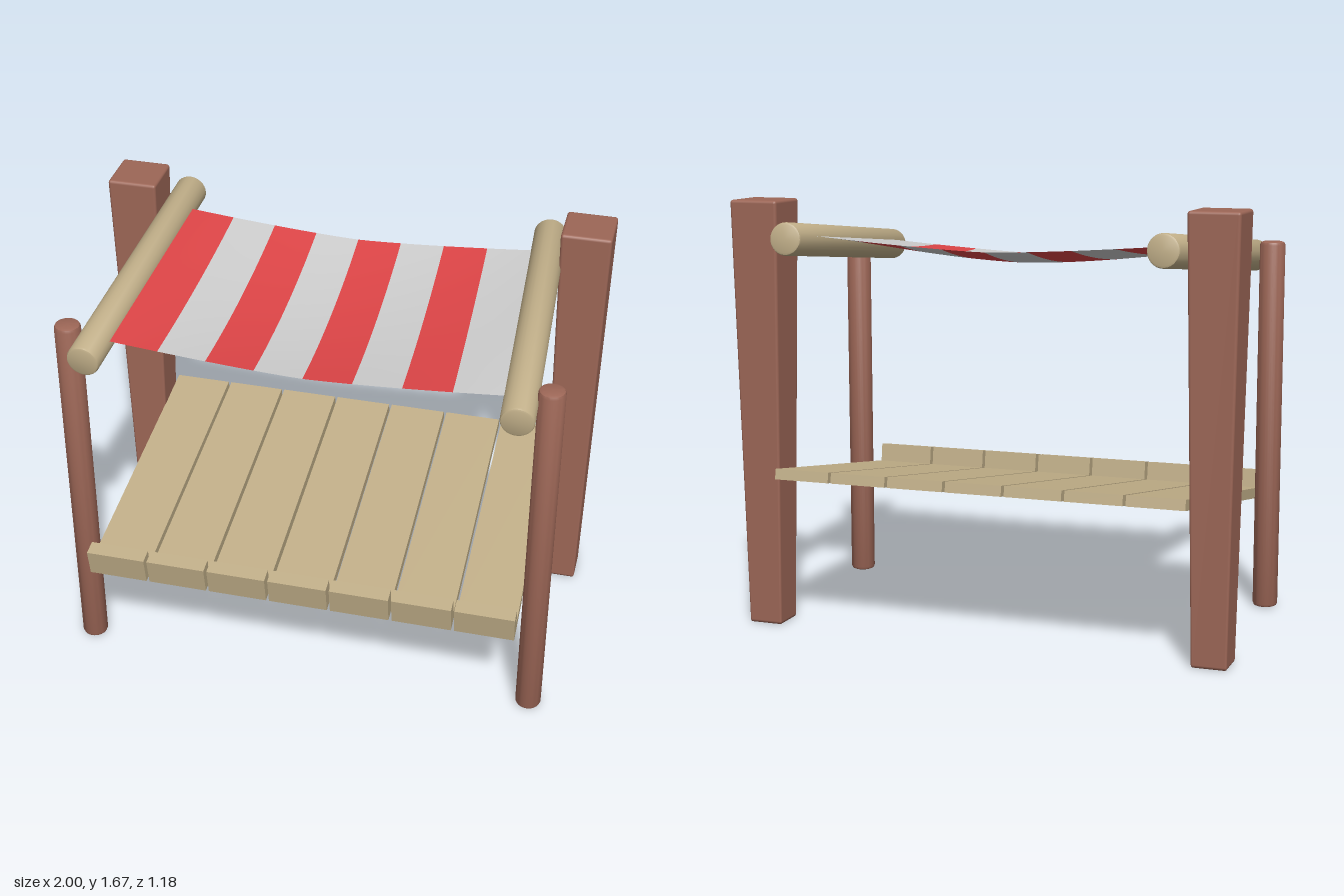
import * as THREE from 'three';
import { toCreasedNormals } from 'three/addons/utils/BufferGeometryUtils.js';
import { RoundedBoxGeometry } from 'three/addons/geometries/RoundedBoxGeometry.js';

const mat = (color, side = THREE.FrontSide) => new THREE.MeshStandardMaterial({ color, side });

// Move every vertex of a geometry by a rule.
function warp(geometry, rule) {
  const p = geometry.attributes.position;
  const v = new THREE.Vector3();
  for (let i = 0; i < p.count; i++) {
    rule(v.fromBufferAttribute(p, i));
    p.setXYZ(i, v.x, v.y, v.z);
  }
  return geometry;
}

// Round pole centred on its own y axis, with a small bevel at both ends.
function pole(radius, length, bevel) {
  const h = length / 2;
  const profile = [
    [0, -h], [radius - bevel, -h], [radius - bevel * 0.3, -h + bevel * 0.3], [radius, -h + bevel],
    [radius, h - bevel], [radius - bevel * 0.3, h - bevel * 0.3], [radius - bevel, h], [0, h],
  ].map(([x, y]) => new THREE.Vector2(x, y));
  return toCreasedNormals(new THREE.LatheGeometry(profile, 28), 0.6);
}

export function createModel() {
  const group = new THREE.Group();
  const brown = mat(0x9c6656);
  const wood = mat(0xc0ae88);
  const red = mat(0xdb4446, THREE.DoubleSide);
  const grey = mat(0xcccccc, THREE.DoubleSide);

  const add = (name, geometry, material) => {
    const mesh = new THREE.Mesh(geometry, material);
    mesh.name = name;
    group.add(mesh);
    return mesh;
  };

  for (const [side, s] of [['left', 1], ['right', -1]]) {
    // Slim round front post
    add(side + 'FrontPost', pole(0.05, 1.49, 0.014), brown).position.set(s * 0.9, 0.745, 0.44);

    // Square back post, wider at the top
    const post = warp(new RoundedBoxGeometry(0.2, 1.67, 0.2, 2, 0.012), (v) => {
      const k = THREE.MathUtils.lerp(0.68, 0.98, v.y / 1.67 + 0.5);
      v.x *= k;
      v.z *= k;
    });
    add(side + 'BackPost', post, brown).position.set(s * 0.9, 0.835, -0.425);

    // Sloping beam, drawn in towards the back
    const front = new THREE.Vector3(s * 0.8, 1.42, 0.573);
    const back = new THREE.Vector3(s * 0.735, 1.533, -0.585);
    const along = back.clone().sub(front);
    const beam = add(side + 'Beam', pole(0.063, along.length(), 0.01), wood);
    beam.position.copy(front).add(back).multiplyScalar(0.5);
    beam.quaternion.setFromUnitVectors(new THREE.Vector3(0, 1, 0), along.normalize());
  }

  // Sagging canopy of alternating stripes; u runs across, v from front to back
  const stripes = 8;
  for (let i = 0; i < stripes; i++) {
    const stripe = new THREE.PlaneGeometry(2 / stripes, 2, 4, 16);
    stripe.rotateX(-Math.PI / 2);
    stripe.translate(-1 + (i + 0.5) * 2 / stripes, 0, 0);
    warp(stripe, (p) => {
      const u = p.x, v = -p.z;
      const rise = 0.042 * Math.pow(Math.abs(u), 1.4);
      const sag = 0.035 * (1 - u * u) * (1 - v * v);
      p.x = u * (0.708 - 0.025 * v);
      p.y = 1.448 + 0.0425 * v + rise - sag;
      p.z = 0.024 - 0.44 * v - 0.2 * rise;
    });
    stripe.computeVertexNormals();
    add('canopyStripe' + (i + 1), stripe, i % 2 ? grey : red);
  }

  // Sloping counter of seven boards, each with an upturned front lip
  const boards = 7, pitch = 0.242, gap = 0.012;
  const outline = new THREE.Shape([
    [0.57, 0.42], [0.59, 0.533], [0.533, 0.543], [0.522, 0.47], [-0.537, 0.638], [-0.545, 0.598],
  ].map(([z, y]) => new THREE.Vector2(z, y)));
  for (let i = 0; i < boards; i++) {
    const width = pitch - gap;
    const board = new THREE.ExtrudeGeometry(outline, { depth: width, bevelEnabled: false });
    board.rotateY(-Math.PI / 2);
    board.translate((i - (boards - 1) / 2) * pitch + width / 2, 0, 0);
    warp(board, (v) => { v.x *= 0.988 + 0.027 * v.z; });
    board.computeVertexNormals();
    add('counterBoard' + (i + 1), board, wood);
  }

  return group;
}
